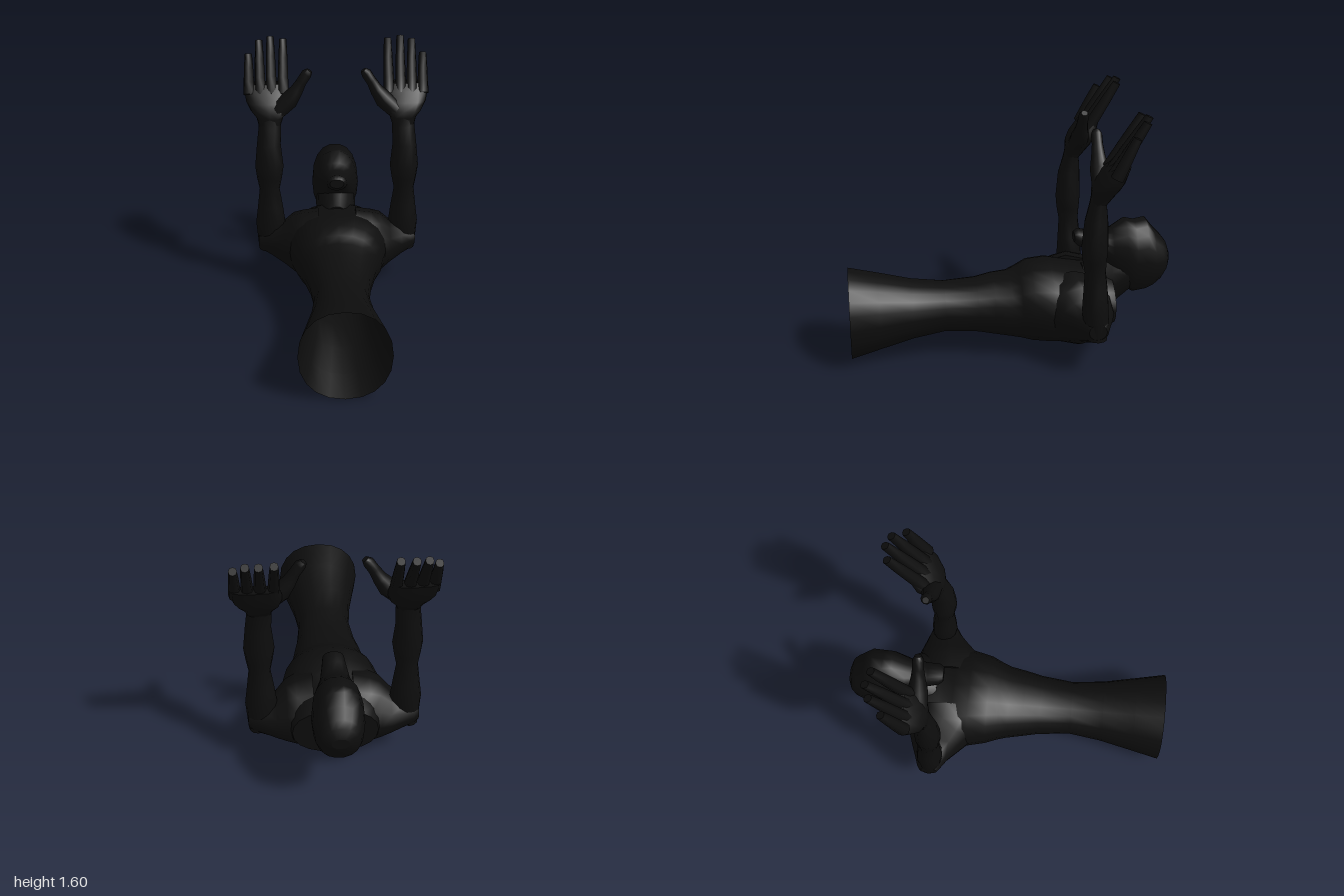
import * as THREE from 'three';

const black = new THREE.MeshStandardMaterial({ color: 0x0d0d0d, side: THREE.DoubleSide });
black.name = 'matte black';

// Loft through rings { c: centre, u, v: half axes }, with u x v along the direction of travel.
// mirror = -1 builds the part on the other side of the body.
function loft(name, rings, { sides = 14, power = 2, mirror = 1, startCap = true } = {}) {
  const pos = [], index = [];
  const point = (r, j) => {
    const a = (j / sides) * Math.PI * 2;
    const f = (t) => Math.sign(t) * Math.pow(Math.abs(t), 2 / power);
    const p = r.c.clone().addScaledVector(r.u, f(Math.cos(a))).addScaledVector(r.v, f(Math.sin(a)));
    pos.push(p.x * mirror, p.y, p.z);
  };
  const tri = (a, b, c) => (mirror > 0 ? index.push(a, b, c) : index.push(a, c, b));
  rings.forEach((r) => { for (let j = 0; j < sides; j++) point(r, j); });
  for (let i = 0; i < rings.length - 1; i++) {
    for (let j = 0; j < sides; j++) {
      const k = (j + 1) % sides, a = i * sides, b = a + sides;
      tri(a + j, a + k, b + k);
      tri(a + j, b + k, b + j);
    }
  }
  const cap = (r, end) => {
    const s = pos.length / 3;
    pos.push(r.c.x * mirror, r.c.y, r.c.z);
    for (let j = 0; j < sides; j++) point(r, j);
    for (let j = 0; j < sides; j++) {
      const a = s + 1 + j, b = s + 1 + ((j + 1) % sides);
      end ? tri(s, a, b) : tri(s, b, a);
    }
  };
  if (startCap) cap(rings[0], false);
  cap(rings[rings.length - 1], true);
  const g = new THREE.BufferGeometry();
  g.setAttribute('position', new THREE.Float32BufferAttribute(pos, 3));
  g.setIndex(index);
  g.computeVertexNormals();
  const mesh = new THREE.Mesh(g, black);
  mesh.name = name;
  return mesh;
}

const V = (x, y, z) => new THREE.Vector3(x, y, z);

// Section facing the back: z, half width, bottom, top
const zRing = ([z, w, lo, hi]) => ({ c: V(0, (lo + hi) / 2, z), u: V(w, 0, 0), v: V(0, -(hi - lo) / 2, 0) });
// Section facing up: y, inner x, outer x, front z, back z
const yRing = ([y, x0, x1, z0, z1]) => ({
  c: V((x0 + x1) / 2, y, (z0 + z1) / 2), u: V(0, 0, (z0 - z1) / 2), v: V((x1 - x0) / 2, 0, 0),
});
// Section facing sideways: x, bottom, top, front z, back z
const xRing = ([x, lo, hi, z0, z1]) => ({
  c: V(x, (lo + hi) / 2, (z0 + z1) / 2), u: V(0, (hi - lo) / 2, 0), v: V(0, 0, (z0 - z1) / 2),
});

function createArm(side) {
  const arm = new THREE.Group();
  arm.name = side > 0 ? 'leftArm' : 'rightArm';
  const opt = { mirror: side, sides: 12 };

  arm.add(loft('upperArm', [
    [0.12, 0.07, 0.53, -0.14, -0.62], [0.22, 0.08, 0.51, -0.17, -0.62], [0.28, 0.11, 0.49, -0.21, -0.61],
    [0.34, 0.15, 0.43, -0.27, -0.59], [0.42, 0.19, 0.4, -0.35, -0.56], [0.48, 0.22, 0.38, -0.39, -0.54],
    [0.51, 0.25, 0.35, -0.41, -0.52],
  ].map(xRing), opt));

  arm.add(loft('forearm', [
    [0.23, 0.4, 0.51, -0.41, -0.53], [0.32, 0.36, 0.517, -0.39, -0.54], [0.42, 0.335, 0.525, -0.38, -0.54],
    [0.54, 0.35, 0.51, -0.385, -0.53], [0.66, 0.368, 0.496, -0.39, -0.515], [0.74, 0.352, 0.51, -0.375, -0.52],
    [0.82, 0.34, 0.52, -0.367, -0.525], [0.97, 0.355, 0.505, -0.38, -0.52], [1.08, 0.35, 0.492, -0.41, -0.51],
    [1.14, 0.35, 0.49, -0.42, -0.53],
  ].map(yRing), opt));

  arm.add(loft('palm', [
    [1.09, 0.352, 0.49, -0.42, -0.51], [1.14, 0.335, 0.505, -0.42, -0.55], [1.18, 0.3, 0.54, -0.425, -0.575],
    [1.23, 0.285, 0.568, -0.45, -0.6], [1.29, 0.295, 0.576, -0.5, -0.615], [1.33, 0.308, 0.574, -0.545, -0.625],
  ].map(yRing), { ...opt, power: 2.6 }));

  // Fingers: base x, tip x, tip y, tip z
  [[0.335, 0.332, 1.575, -0.72], [0.408, 0.413, 1.585, -0.74], [0.478, 0.484, 1.57, -0.715], [0.548, 0.55, 1.502, -0.645]]
    .forEach(([bx, tx, ty, tz], i) => {
      const ring = (t, r) => {
        const c = V(bx, 1.27, -0.535).lerp(V(tx, ty, tz), t);
        return { c, u: V(0, r * 0.5, r), v: V(r, 0, 0) };
      };
      arm.add(loft('finger' + (i + 1), [ring(0, 0.036), ring(0.3, 0.033), ring(0.65, 0.029), ring(1, 0.023)],
        { mirror: side, sides: 8, power: 2.5 }));
    });

  // Thumb, leaning inward: x, y, z, radius
  arm.add(loft('thumb', [
    [0.37, 1.18, -0.485, 0.055], [0.3, 1.245, -0.49, 0.058], [0.25, 1.31, -0.49, 0.042],
    [0.217, 1.37, -0.49, 0.033], [0.185, 1.42, -0.49, 0.033], [0.167, 1.44, -0.49, 0.02],
  ].map(([x, y, z, r]) => ({ c: V(x, y, z), u: V(0, 0, r), v: V(r * 0.8, r * 0.6, 0) })),
  { mirror: side, sides: 10 }));
  return arm;
}

export function createModel() {
  const model = new THREE.Group();
  model.name = 'figure';

  // Hollow flared body, open at the front
  model.add(loft('torso', [
    [0.98, 0.265, 0, 0.555], [0.8, 0.228, 0.05, 0.515], [0.6, 0.188, 0.105, 0.467], [0.4, 0.165, 0.14, 0.442],
    [0.2, 0.188, 0.128, 0.452], [0.1, 0.21, 0.108, 0.474], [0, 0.23, 0.09, 0.482], [-0.06, 0.25, 0.078, 0.51],
    [-0.13, 0.28, 0.06, 0.545], [-0.25, 0.31, 0.05, 0.55], [-0.35, 0.32, 0.05, 0.525], [-0.44, 0.31, 0.055, 0.51],
    [-0.55, 0.285, 0.11, 0.5], [-0.63, 0.255, 0.15, 0.47],
  ].map(zRing), { sides: 20, power: 2.2, startCap: false }));

  model.add(loft('neck', [
    [-0.46, 0.1, 0.28, 0.52], [-0.55, 0.12, 0.22, 0.56], [-0.63, 0.13, 0.23, 0.6], [-0.73, 0.13, 0.32, 0.64],
    [-0.8, 0.11, 0.38, 0.62],
  ].map(zRing)));

  // Head with a snout reaching forward over the chest
  model.add(loft('head', [
    [-0.405, 0.045, 0.675, 0.735], [-0.43, 0.064, 0.65, 0.755], [-0.5, 0.075, 0.62, 0.738], [-0.58, 0.09, 0.56, 0.73],
    [-0.64, 0.115, 0.47, 0.755], [-0.72, 0.142, 0.36, 0.81], [-0.78, 0.153, 0.325, 0.795], [-0.85, 0.15, 0.335, 0.808],
    [-0.9, 0.14, 0.36, 0.745], [-0.95, 0.122, 0.405, 0.69], [-0.98, 0.1, 0.46, 0.65], [-1, 0.05, 0.52, 0.59],
  ].map(zRing), { sides: 18, power: 2.2 }));

  model.add(createArm(1), createArm(-1));
  return model;
}
